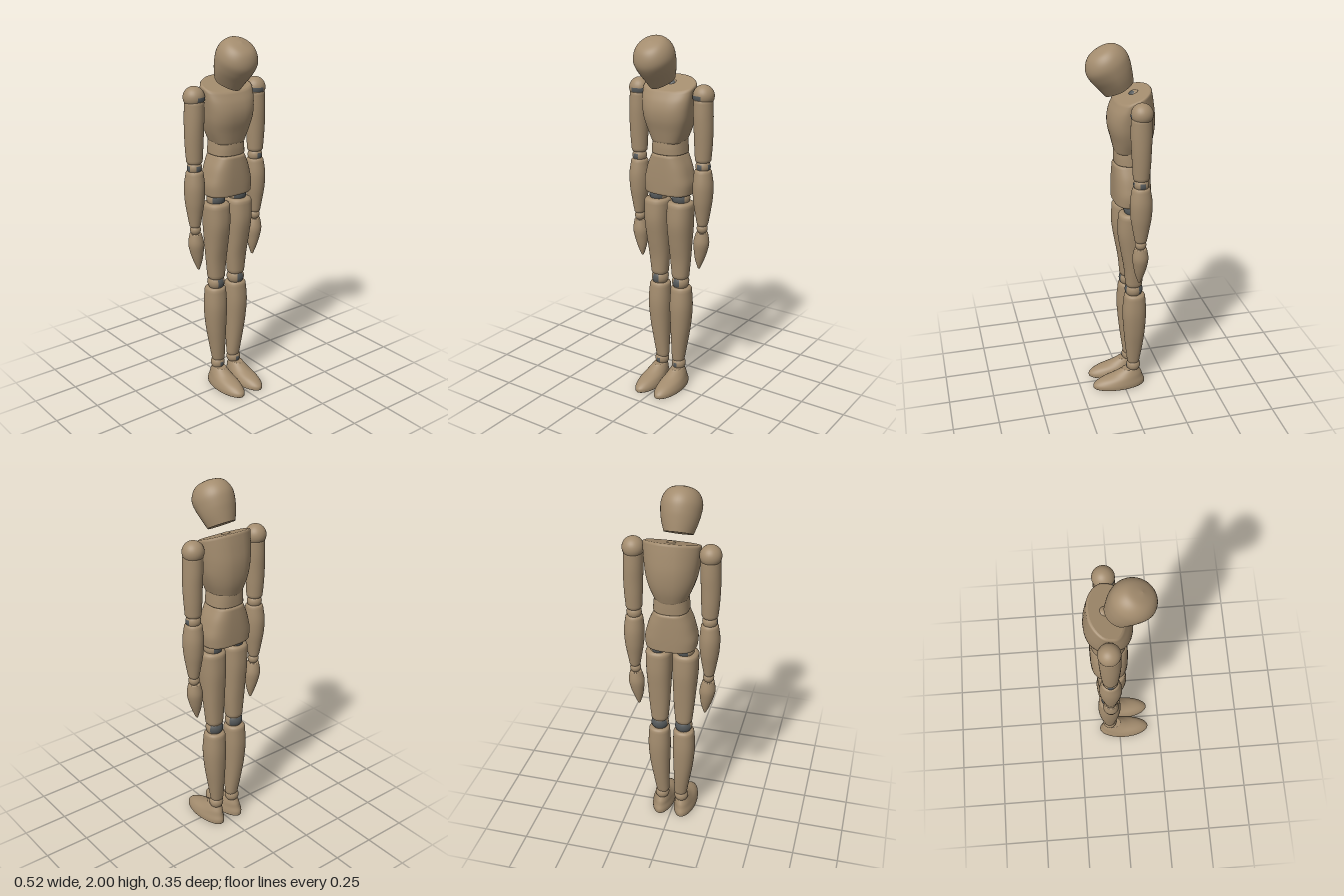
import * as THREE from 'three';

const material = (name, color) => Object.assign(new THREE.MeshStandardMaterial({ color }), { name });
const wood = material('wood', 0xa38c6e);
const metal = material('darkMetal', 0x55595a);

function catmull(t, a, b, c, d) {
  const v0 = (c - a) / 2, v1 = (d - b) / 2;
  return (2 * b - 2 * c + v0 + v1) * t ** 3 + (-3 * b + 3 * c - 2 * v0 - v1) * t * t + v0 * t + b;
}

// Smooth closed body from sections [y, centreX, centreZ, radiusX, radiusZ, tilt, taper].
// power > 2 makes the outline boxier, bevel rounds both ends,
// bow bulges the front and back, taper narrows the front.
function loft(name, sections, { power = 2, bevel = 0.008, seg = 48, side = 1, bow = [0, 0] } = {}) {
  const rings = [];
  const steps = 5, n = sections.length;
  const at = (i, k) => sections[Math.min(n - 1, Math.max(0, i))][k] ?? 0;
  for (let i = 0; i < n - 1; i++) {
    for (let s = i ? 1 : 0; s <= steps; s++) {
      rings.push([0, 1, 2, 3, 4, 5, 6].map((k) =>
        catmull(s / steps, at(i - 1, k), at(i, k), at(i + 1, k), at(i + 2, k))));
    }
  }
  if (bevel) {
    const inset = (r, d, dy) => [r[0] + dy, r[1], r[2], r[3] - d, r[4] - d, r[5], r[6]];
    const first = rings[0], last = rings[rings.length - 1];
    rings.unshift(inset(first, bevel * 1.2, -bevel), inset(first, bevel * 0.4, -bevel * 0.65));
    rings.push(inset(last, bevel * 0.4, bevel * 0.65), inset(last, bevel * 1.2, bevel));
  }
  const pos = [], idx = [];
  const addRing = ([y, cx, cz, rx, rz, tilt, taper]) => {
    const start = pos.length / 3;
    for (let j = 0; j < seg; j++) {
      const a = (j / seg) * Math.PI * 2;
      const curve = (v) => Math.sign(v) * Math.abs(v) ** (2 / power);
      const u = curve(Math.sin(a)), v = curve(Math.cos(a));
      const z = rz * v + rx * v * (1 - u * u) * (v > 0 ? bow[0] : bow[1]);
      pos.push(side * cx + rx * u * (1 - taper * Math.max(0, v)), y + tilt * z, cz + z);
    }
    return start;
  };
  const starts = rings.map(addRing);
  for (let i = 0; i < starts.length - 1; i++) {
    for (let j = 0; j < seg; j++) {
      const k = (j + 1) % seg;
      const a = starts[i] + j, b = starts[i] + k, c = starts[i + 1] + k, d = starts[i + 1] + j;
      idx.push(a, b, c, a, c, d);
    }
  }
  // flat end caps with their own vertices
  for (const [ring, up] of [[rings[0], false], [rings[rings.length - 1], true]]) {
    const s = addRing(ring), c = pos.length / 3;
    pos.push(side * ring[1], ring[0], ring[2]);
    for (let j = 0; j < seg; j++) {
      const k = (j + 1) % seg;
      idx.push(c, s + (up ? j : k), s + (up ? k : j));
    }
  }
  const geo = new THREE.BufferGeometry();
  geo.setAttribute('position', new THREE.Float32BufferAttribute(pos, 3));
  geo.setIndex(idx);
  geo.computeVertexNormals();
  const mesh = new THREE.Mesh(geo, wood);
  mesh.name = name;
  return mesh;
}

// Wooden joint ball with thin metal inlays: [heading from the front, width, top angle, bottom angle] in degrees.
function joint(name, r, x, y, z, inlays) {
  const group = new THREE.Group();
  group.name = name;
  group.position.set(x, y, z);
  group.add(new THREE.Mesh(new THREE.SphereGeometry(r, 28, 20), wood));
  for (const inlay of inlays) {
    const [heading, width, top, bottom] = inlay.map(THREE.MathUtils.degToRad);
    const plate = new THREE.Mesh(new THREE.SphereGeometry(r + 0.0015, 14, 8,
      heading + Math.PI / 2 - width / 2, width, top, bottom - top), metal);
    plate.name = 'jointInlay';
    group.add(plate);
  }
  return group;
}

export function createModel() {
  const model = new THREE.Group();
  model.name = 'jointedFigure';

  // egg-shaped head, bowed forward, with a flat base
  const head = loft('head', [
    [0, 0, 0, 0.076, 0.083, 0, 0.3], [0.05, 0, -0.003, 0.093, 0.098, 0, 0.22],
    [0.1, 0, -0.004, 0.103, 0.112, 0, 0.1], [0.15, 0, -0.005, 0.105, 0.116],
    [0.193, 0, -0.007, 0.09, 0.098], [0.222, 0, -0.009, 0.058, 0.064],
    [0.234, 0, -0.01, 0.001, 0.001],
  ], { bevel: 0 });
  head.position.set(-0.021, 1.767, 0.003);
  head.rotation.x = 0.5;
  model.add(head, joint('neckBall', 0.035, 0, 1.722, -0.075, [[0, 120, 25, 80]]));

  // torso: chest with a sloping top and bowed back, waist and pelvis
  model.add(loft('chest', [
    [1.44, 0, -0.048, 0.087, 0.071], [1.5, 0, -0.048, 0.112, 0.081], [1.56, 0, -0.0435, 0.13, 0.0885],
    [1.62, 0, -0.042, 0.139, 0.088, -0.07], [1.68, 0, -0.0425, 0.145, 0.0765, -0.2],
    [1.731, 0, -0.0475, 0.148, 0.0595, -0.36],
  ], { power: 3.6, seg: 72, bow: [0.16, 0.32] }));
  model.add(loft('waist', [
    [1.375, 0, -0.054, 0.095, 0.09], [1.41, 0, -0.054, 0.092, 0.091], [1.445, 0, -0.055, 0.088, 0.09],
  ], { power: 2.5, bevel: 0.004 }));
  model.add(loft('pelvis', [
    [1.158, 0, -0.053, 0.136, 0.098], [1.21, 0, -0.053, 0.139, 0.099], [1.26, 0, -0.053, 0.128, 0.099],
    [1.31, 0, -0.053, 0.113, 0.098], [1.362, 0, -0.053, 0.089, 0.096],
  ], { power: 2.8, seg: 56 }));

  for (const side of [1, -1]) {
    // arm
    const arm = new THREE.Group();
    arm.name = side > 0 ? 'leftArm' : 'rightArm';
    arm.add(
      joint('shoulderBall', 0.057, side * 0.2, 1.695, -0.059, [[side * -25, 80, 85, 107]]),
      loft('upperArm', [
        [1.355, 0.203, -0.057, 0.043, 0.043], [1.43, 0.204, -0.057, 0.048, 0.048],
        [1.51, 0.204, -0.056, 0.051, 0.052], [1.59, 0.202, -0.056, 0.052, 0.055],
        [1.67, 0.2, -0.056, 0.051, 0.053],
      ], { side, bevel: 0.012 }),
      joint('elbowBall', 0.04, side * 0.203, 1.322, -0.057,
        [[0, 40, 70, 110], [side * 90, 40, 70, 110]]),
      loft('forearm', [
        [1.0, 0.205, -0.057, 0.029, 0.032], [1.07, 0.205, -0.057, 0.041, 0.045],
        [1.14, 0.205, -0.057, 0.051, 0.056], [1.22, 0.205, -0.057, 0.054, 0.059],
        [1.295, 0.203, -0.057, 0.046, 0.048],
      ], { side, bevel: 0.01 }),
      joint('wristBall', 0.03, side * 0.203, 0.975, -0.057, []),
      loft('hand', [
        [0.742, 0.187, -0.056, 0.006, 0.008], [0.79, 0.19, -0.056, 0.024, 0.024],
        [0.84, 0.195, -0.057, 0.036, 0.036], [0.895, 0.199, -0.057, 0.043, 0.043],
        [0.95, 0.202, -0.057, 0.032, 0.034],
      ], { side, bevel: 0.003 }),
    );

    // leg
    const leg = new THREE.Group();
    leg.name = side > 0 ? 'leftLeg' : 'rightLeg';
    leg.add(
      joint('hipBall', 0.05, side * 0.072, 1.128, -0.05, [[0, 110, 50, 125], [180, 60, 50, 125]]),
      loft('thigh', [
        [0.67, 0.068, -0.056, 0.047, 0.046], [0.77, 0.069, -0.054, 0.056, 0.053],
        [0.88, 0.071, -0.048, 0.063, 0.066], [0.99, 0.073, -0.043, 0.069, 0.077],
        [1.095, 0.074, -0.043, 0.07, 0.073],
      ], { side, power: 2.3, bevel: 0.014 }),
      joint('kneeBall', 0.048, side * 0.068, 0.635, -0.056, [[0, 45, 60, 115], [180, 130, 60, 115]]),
      loft('shin', [
        [0.15, 0.053, -0.06, 0.036, 0.034], [0.26, 0.061, -0.061, 0.046, 0.049],
        [0.37, 0.068, -0.061, 0.056, 0.06], [0.49, 0.071, -0.06, 0.062, 0.066],
        [0.595, 0.07, -0.061, 0.057, 0.058],
      ], { side, power: 2.2, bevel: 0.012 }),
      joint('ankleBall', 0.04, side * 0.057, 0.125, -0.06, [[0, 30, 75, 110]]),
      loft('foot', [
        [0.004, 0.064, 0.028, 0.065, 0.151], [0.025, 0.064, 0.026, 0.064, 0.149],
        [0.05, 0.063, 0.012, 0.057, 0.125], [0.075, 0.061, -0.022, 0.047, 0.084],
        [0.1, 0.059, -0.041, 0.036, 0.052],
      ], { side, bevel: 0.004, power: 1.95 }),
    );
    model.add(arm, leg);
  }
  return model;
}
